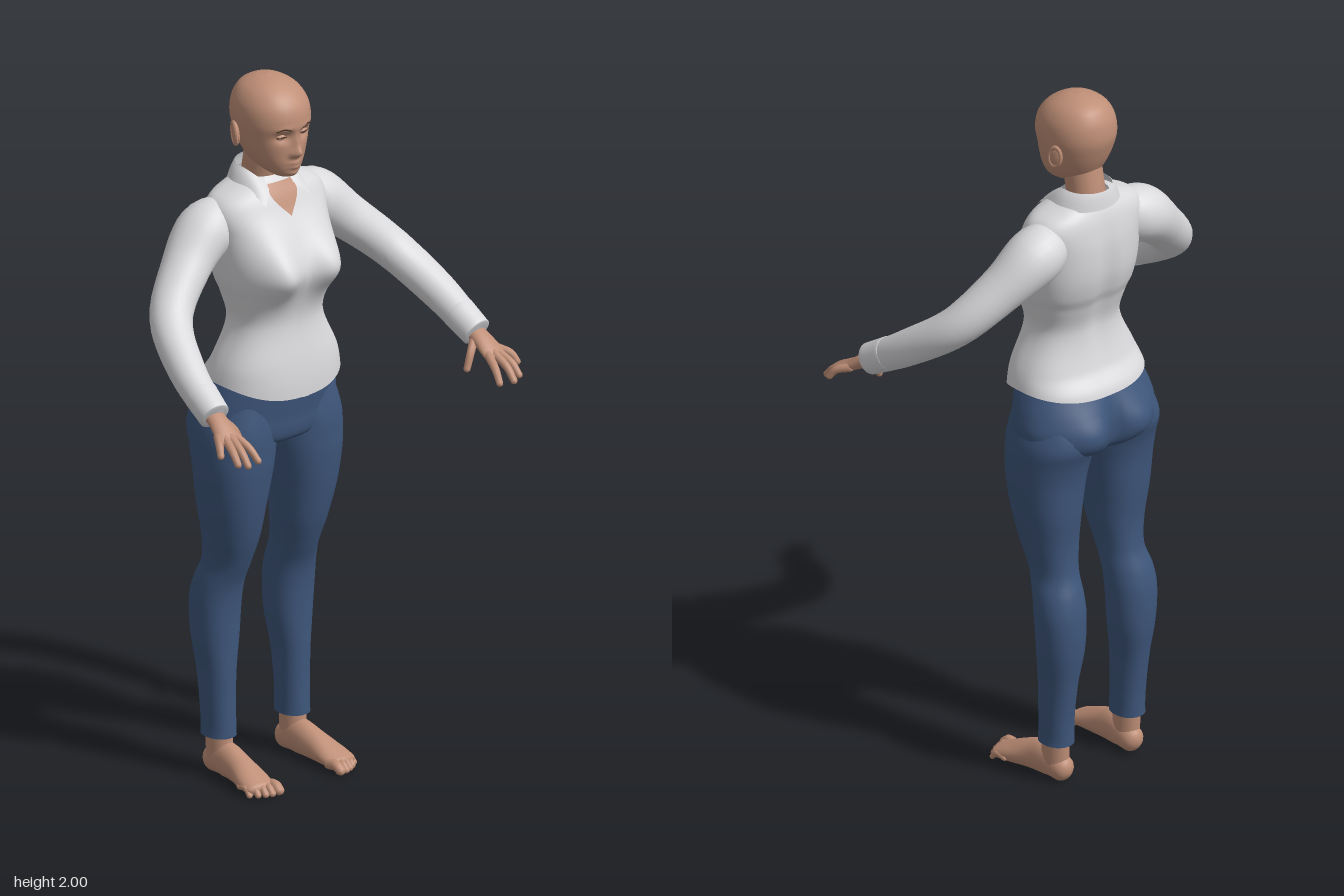
import * as THREE from 'three';
import { mergeVertices } from 'three/addons/utils/BufferGeometryUtils.js';

const TAU = Math.PI * 2, FRONT = Math.PI / 2, BACK = Math.PI * 1.5;
const bell = (d, s) => Math.exp(-(d * d) / (2 * s * s));

// Smooth interpolation through rows of [key, ...values]
function track(rows) {
  const slope = (i, k) => {
    const a = rows[Math.max(i - 1, 0)], b = rows[Math.min(i + 1, rows.length - 1)];
    return (b[k] - a[k]) / (b[0] - a[0]);
  };
  return (t) => {
    let i = 0;
    while (i < rows.length - 2 && t > rows[i + 1][0]) i++;
    const p = rows[i], q = rows[i + 1], h = q[0] - p[0];
    const s = Math.min(1, Math.max(0, (t - p[0]) / h)), s2 = s * s, s3 = s2 * s;
    return p.slice(1).map((v, j) => (2 * s3 - 3 * s2 + 1) * v + (3 * s2 - 2 * s3) * q[j + 1]
      + h * ((s3 - 2 * s2 + s) * slope(i, j + 1) + (s3 - s2) * slope(i + 1, j + 1)));
  };
}

// Smooth grid surface from a function (u, v) -> [x, y, z]
function surface(f, u0, u1, nu, v0, v1, nv) {
  const pos = [], idx = [];
  for (let j = 0; j <= nv; j++) for (let i = 0; i <= nu; i++) {
    pos.push(...f(u0 + (u1 - u0) * i / nu, v0 + (v1 - v0) * j / nv));
    if (i < nu && j < nv) {
      const a = j * (nu + 1) + i, b = a + nu + 1;
      idx.push(a, b, a + 1, a + 1, b, b + 1);
    }
  }
  let g = new THREE.BufferGeometry();
  g.setAttribute('position', new THREE.Float32BufferAttribute(pos, 3));
  g.setIndex(idx);
  g = mergeVertices(g, 1e-5);
  g.computeVertexNormals();
  return g;
}

// Upright body section: rows are [y, xMin, xMax, zFront, zBack]; bump adds depth
function body(rows, e, bump = () => 0) {
  const at = track(rows), pw = (c) => Math.sign(c) * Math.abs(c) ** (2 / e);
  return (a, y) => {
    const [x0, x1, zf, zb] = at(y), c = pw(Math.cos(a)), s = pw(Math.sin(a));
    const x = (x0 + x1) / 2 + c * (x1 - x0) / 2;
    return [x, y, (zf + zb) / 2 + s * (zf - zb) / 2 + bump(x, y, Math.sin(a))];
  };
}
const even = (rows) => rows.map(([y, w, f, b]) => [y, -w, w, f, b]);

// Limb with rounded ends: rows are [x, y, z, halfWidth, halfHeight]
function limb(rows, seg = 14, cap = 1, ref = new THREE.Vector3(0, 1, 0)) {
  const at = track(rows.map((r, i) => [i, ...r])), end = rows.length - 1;
  const point = (t) => new THREE.Vector3(...at(t).slice(0, 3));
  return surface((a, t) => {
    const k = Math.min(end, Math.max(0, t)), over = (t - k) * Math.PI / 2;
    const [, , , ra, rb] = at(k);
    const dir = point(Math.min(end, k + 0.02)).sub(point(Math.max(0, k - 0.02))).normalize();
    const side = dir.clone().cross(ref).normalize(), up = side.clone().cross(dir);
    const r = Math.max(0, Math.cos(over));
    return point(k).addScaledVector(side, Math.cos(a) * ra * r)
      .addScaledVector(up, Math.sin(a) * rb * r)
      .addScaledVector(dir, Math.sin(over) * Math.min(ra, rb) * cap).toArray();
  }, 0, TAU, seg, -1, end + 1, (end + 2) * 6);
}

function mirrored(g) {
  const m = g.clone().scale(-1, 1, 1), ix = m.index.array;
  for (let i = 0; i < ix.length; i += 3) [ix[i], ix[i + 1]] = [ix[i + 1], ix[i]];
  m.computeVertexNormals();
  return m;
}

export function createModel() {
  const model = new THREE.Group();
  const mat = (name, color, side = THREE.FrontSide) => {
    const m = new THREE.MeshStandardMaterial({ color, side });
    m.name = name;
    return m;
  };
  const skin = mat('skin', 0xbf8f77), hair = mat('browBrown', 0x4a342a);
  const cloth = mat('shirtWhite', 0xd9d9dc, THREE.DoubleSide);
  const denim = mat('denimBlue', 0x3e567b, THREE.DoubleSide);
  const add = (name, g, m) => {
    const mesh = new THREE.Mesh(g, m);
    mesh.name = name;
    model.add(mesh);
  };
  const pair = (name, g, m) => {
    add(name + 'Left', g, m);
    add(name + 'Right', mirrored(g), m);
  };

  // Head with sculpted face
  const face = (x, y, s) => {
    if (s <= 0) return 0;
    const ax = Math.abs(x), spot = (px, py, sx, sy) => bell(ax - px, sx) * bell(y - py, sy);
    return s * (0.022 * spot(0, 1.81, 0.009, 0.011) + 0.011 * spot(0, 1.838, 0.007, 0.018)
      + 0.007 * spot(0.013, 1.806, 0.006, 0.007) - 0.014 * spot(0.037, 1.857, 0.016, 0.011)
      + 0.004 * spot(0.035, 1.88, 0.02, 0.006) + 0.009 * spot(0, 1.78, 0.013, 0.005)
      + 0.009 * spot(0, 1.767, 0.012, 0.005) + 0.007 * spot(0, 1.747, 0.014, 0.009));
  };
  const head = body(even([
    [1.731, 0, -0.085, -0.085], [1.734, 0.022, -0.065, -0.115], [1.741, 0.036, -0.055, -0.145],
    [1.755, 0.052, -0.049, -0.18], [1.78, 0.07, -0.045, -0.215], [1.81, 0.083, -0.043, -0.235],
    [1.85, 0.094, -0.04, -0.252], [1.89, 0.1, -0.034, -0.263], [1.93, 0.096, -0.042, -0.26],
    [1.96, 0.082, -0.063, -0.248], [1.98, 0.062, -0.09, -0.23], [1.995, 0.03, -0.125, -0.195],
    [2, 0, -0.16, -0.16]]), 2.15, face);
  add('head', surface((a, v) => head(a, 1.8655 - 0.1345 * Math.cos(v)), 0, TAU, 120, 0, Math.PI, 80), skin);
  add('neck', limb([[0, 1.6, -0.2, 0.06, 0.055], [0, 1.7, -0.19, 0.052, 0.054],
    [0, 1.8, -0.17, 0.052, 0.055]], 28, 1, new THREE.Vector3(0, 0, 1)), skin);

  // Eyelids, lash lines, brows and ears
  pair('eyelid', new THREE.SphereGeometry(1, 18, 12).scale(0.016, 0.009, 0.013).translate(0.037, 1.857, -0.062), skin);
  const faceLine = (pts, r) => limb(pts.map(([x, y]) => {
    const z = head(Math.acos((x / 0.095) ** 1.075), y)[2];
    return [x, y, z + 0.001, r, r];
  }), 6);
  pair('lash', limb([[0.023, 1.855, -0.053, 0.0015, 0.0015], [0.037, 1.858, -0.049, 0.002, 0.002],
    [0.052, 1.857, -0.057, 0.0015, 0.0015]], 6), hair);
  pair('brow', faceLine([[0.02, 1.878], [0.04, 1.884], [0.057, 1.877]], 0.002), hair);
  pair('ear', new THREE.SphereGeometry(1, 18, 14).scale(0.009, 0.034, 0.021)
    .rotateY(0.35).rotateX(-0.15).translate(0.098, 1.847, -0.175), skin);
  pair('earRim', new THREE.TorusGeometry(0.02, 0.005, 8, 24).scale(0.85, 1.45, 1).rotateY(FRONT + 0.35)
    .rotateX(-0.15).translate(0.102, 1.849, -0.176), skin);

  // Shirt with a curved hem
  const torso = body(even([
    [1.1, 0.203, -0.004, -0.3], [1.16, 0.197, -0.006, -0.287], [1.21, 0.183, -0.012, -0.255],
    [1.32, 0.136, -0.03, -0.232], [1.4, 0.15, -0.024, -0.25], [1.44, 0.162, -0.024, -0.267],
    [1.5, 0.17, -0.03, -0.28], [1.58, 0.175, -0.048, -0.281], [1.64, 0.182, -0.075, -0.272],
    [1.675, 0.16, -0.092, -0.262], [1.7, 0.105, -0.11, -0.25], [1.72, 0.06, -0.125, -0.245]]), 2.4,
  (x, y, s) => s > 0
    ? Math.sqrt(s) * 0.076 * (bell(x - 0.088, 0.052) + bell(x + 0.088, 0.052)) * bell(y - 1.48, y > 1.48 ? 0.062 : 0.05)
    : -s * 0.012 * bell(x, 0.02) * bell(y - 1.45, 0.12));
  const hem = (a) => 1.163 - (Math.sin(a) > 0 ? 0.046 : 0.02) * Math.sin(a) ** 2;
  add('shirt', surface((a, v) => torso(a, hem(a) + (1.72 - hem(a)) * v), 0, TAU, 96, 0, 1, 70), cloth);

  // Thin patch lying on a body surface
  const patch = (f, mid, half, y0, y1, lift, taper = () => 1) => surface((u, t) => {
    const a = mid + half * u * taper(t), p = f(a, y0 + (y1 - y0) * t);
    return [p[0], p[1], p[2] + lift * Math.sign(Math.sin(mid))];
  }, -1, 1, 10, 0, 1, 40);
  add('buttonPlacket', patch(torso, FRONT, 0.035, 1.118, 1.62, 0.004), cloth);
  add('openNeckline', patch(torso, FRONT, 0.36, 1.62, 1.705, 0.004, (t) => t ** 1.2), skin);

  // Folded collar, open at the front
  add('collar', surface((a, v) => {
    const c = Math.cos(a), s = Math.sin(a), k = Math.max(0, s);
    const top = [0.07 * c, 1.742 - 0.045 * k * k, -0.185 + 0.074 * s];
    const low = [0.1 * c + Math.sign(c) * 0.05 * k ** 4, 1.695 - 0.045 * k ** 3, -0.18 + 0.09 * s + 0.022 * k];
    return top.map((p, i) => p + (low[i] - p) * v + (i === 1 ? 0.006 * Math.sin(v * Math.PI) : 0));
  }, FRONT + 0.38, FRONT + TAU - 0.38, 60, 1, 0, 6), cloth);

  // Sleeves and cuffs
  pair('sleeve', limb([[0.12, 1.6, -0.185, 0.06, 0.072], [0.19, 1.585, -0.192, 0.08, 0.078],
    [0.28, 1.512, -0.165, 0.068, 0.063], [0.385, 1.41, -0.1, 0.058, 0.055],
    [0.437, 1.315, 0.03, 0.05, 0.05], [0.455, 1.235, 0.16, 0.041, 0.042]], 28, 0.2), cloth);
  pair('cuff', limb([[0.448, 1.273, 0.098, 0.047, 0.047], [0.455, 1.235, 0.164, 0.043, 0.044]], 28, 0.1), cloth);

  // Hands and fingers
  pair('palm', limb([[0.453, 1.245, 0.13, 0.027, 0.022], [0.456, 1.224, 0.18, 0.029, 0.02],
    [0.46, 1.198, 0.222, 0.036, 0.016], [0.461, 1.187, 0.24, 0.033, 0.012]], 18), skin);
  const fingers = {
    littleFinger: [[0.485, 1.198, 0.215], [0.505, 1.187, 0.245], [0.515, 1.165, 0.262]],
    ringFinger: [[0.473, 1.195, 0.23], [0.484, 1.173, 0.275], [0.488, 1.146, 0.302]],
    middleFinger: [[0.457, 1.195, 0.235], [0.461, 1.17, 0.283], [0.462, 1.139, 0.312]],
    indexFinger: [[0.44, 1.195, 0.23], [0.428, 1.17, 0.275], [0.42, 1.14, 0.303]],
    thumb: [[0.437, 1.22, 0.175], [0.41, 1.192, 0.193], [0.394, 1.155, 0.198]],
  };
  for (const [name, pts] of Object.entries(fingers))
    pair(name, limb(pts.map((p, i) => [...p, 0.0125 - 0.0015 * i, 0.0125 - 0.0015 * i]), 10), skin);

  // Jeans: hips, legs, fly and back pockets
  const hips = body(even([
    [0.95, 0.05, -0.13, -0.22], [0.975, 0.14, -0.065, -0.275], [1, 0.2, -0.05, -0.297],
    [1.05, 0.217, -0.046, -0.304], [1.1, 0.208, -0.04, -0.294], [1.15, 0.19, -0.035, -0.275],
    [1.19, 0.17, -0.04, -0.255]]), 2.3,
  (x, y, s) => s < 0 ? s * bell(y - 1.04, 0.05)
    * (0.03 * bell(Math.abs(x) - 0.095, 0.055) - 0.025 * bell(x, 0.018)) : 0);
  add('jeansHips', surface(hips, 0, TAU, 80, 0.95, 1.19, 30), denim);
  pair('jeansLeg', surface(body([
    [0.115, 0.084, 0.172, -0.158, -0.262], [0.13, 0.085, 0.17, -0.158, -0.262], [0.2, 0.085, 0.172, -0.16, -0.265],
    [0.3, 0.08, 0.177, -0.16, -0.277], [0.4, 0.064, 0.19, -0.16, -0.292], [0.5, 0.058, 0.196, -0.155, -0.294],
    [0.56, 0.058, 0.19, -0.143, -0.283], [0.62, 0.058, 0.177, -0.118, -0.262], [0.7, 0.046, 0.19, -0.088, -0.256],
    [0.8, 0.034, 0.21, -0.064, -0.265], [0.9, 0.016, 0.223, -0.05, -0.272], [0.96, 0.006, 0.226, -0.047, -0.285],
    [1.02, 0.004, 0.222, -0.047, -0.303], [1.1, 0.02, 0.195, -0.06, -0.28]], 2.15), 0, TAU, 40, 0.115, 1.1, 70), denim);
  add('fly', patch(hips, FRONT, 0.05, 1.01, 1.14, 0.003), denim);
  pair('backPocket', patch(hips, BACK + 0.46, 0.22, 1.015, 1.1, 0.004, (t) => Math.min(1, 0.5 + 2 * t)), denim);

  // Bare feet and toes
  pair('ankle', limb([[0.127, 0.05, -0.205, 0.033, 0.042], [0.128, 0.11, -0.208, 0.034, 0.042],
    [0.128, 0.18, -0.21, 0.036, 0.042]], 20, 0.5, new THREE.Vector3(0, 0, 1)), skin);
  pair('foot', limb([[0.125, 0.037, -0.23, 0.033, 0.037], [0.127, 0.05, -0.18, 0.036, 0.05],
    [0.131, 0.042, -0.12, 0.038, 0.042], [0.138, 0.029, -0.06, 0.046, 0.029],
    [0.141, 0.02, -0.02, 0.046, 0.02]], 22, 0.9), skin);
  for (let i = 0; i < 5; i++) {
    const r = i ? 0.0105 - 0.0005 * i : 0.0145, x = 0.105 + (i ? 0.004 : 0) + 0.0175 * i;
    const tip = 0.017 - 0.003 * i * i * 0.7;
    pair('toe' + (i + 1), limb([[x, 0.02, tip - 0.045, r, r], [x + 0.001, 0.024, tip - 0.018, r, r],
      [x + 0.002, r, tip, r, r * 0.9]], 10), skin);
  }
  return model;
}
